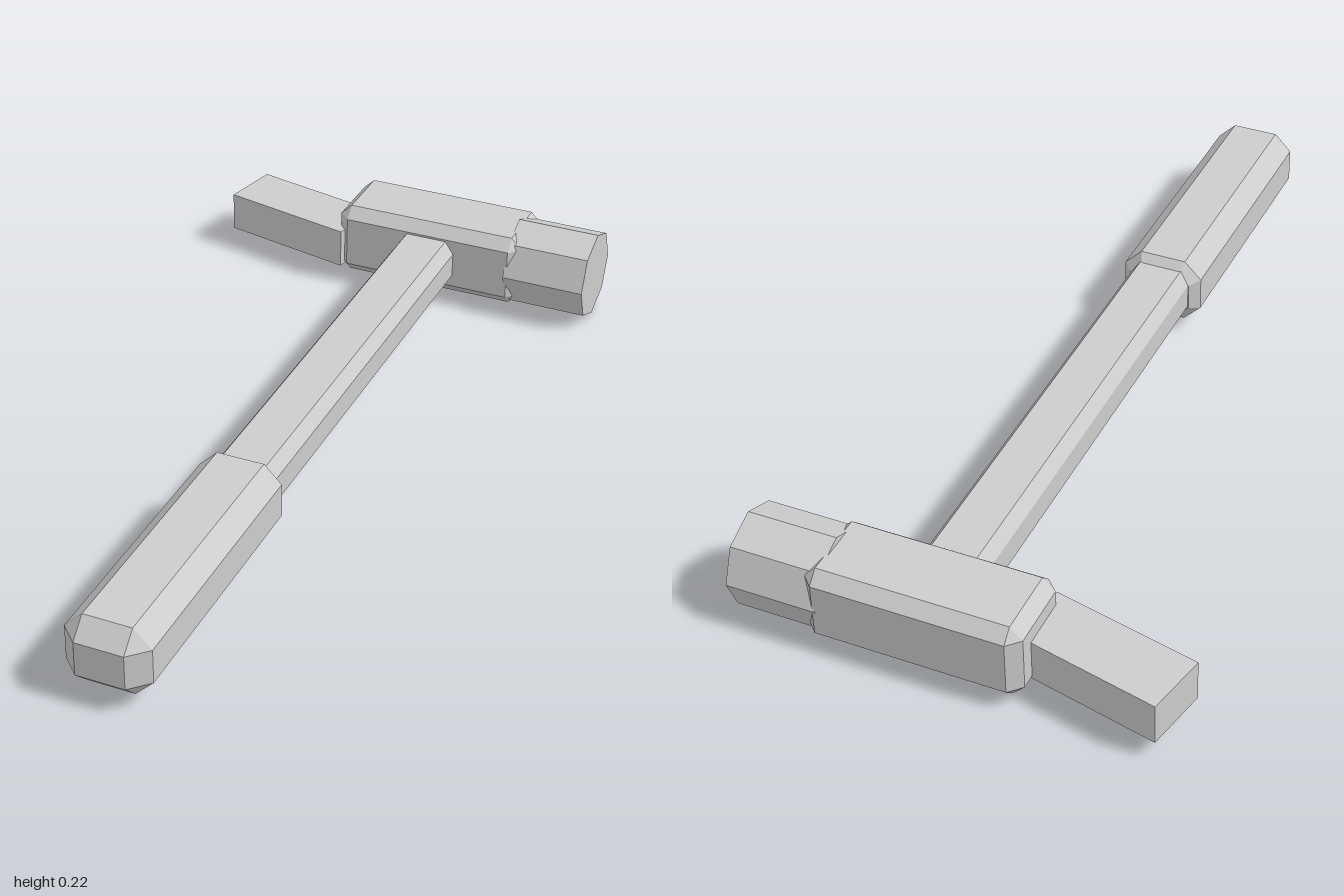
import * as THREE from 'three';
import { ConvexGeometry } from 'three/addons/geometries/ConvexGeometry.js';

// Rings of [z, halfWidth, halfHeight, cutX, cutY]: a rectangle with its corners cut off
function bevelled(rings) {
  const points = [];
  for (const [z, w, h, cx, cy] of rings) {
    for (const sx of [-1, 1]) for (const sy of [-1, 1]) {
      points.push(new THREE.Vector3(sx * (w - cx), sy * h, z));
      if (cx > 0) points.push(new THREE.Vector3(sx * w, sy * (h - cy), z));
    }
  }
  return new ConvexGeometry(points);
}

export function createModel() {
  const group = new THREE.Group();
  const steel = new THREE.MeshStandardMaterial({ color: 0xcccccc, flatShading: true });
  steel.name = 'light grey';

  const add = (name, geometry, x, y, z) => {
    const mesh = new THREE.Mesh(geometry, steel);
    mesh.name = name;
    mesh.position.set(x, y, z);
    group.add(mesh);
    return mesh;
  };

  // Thick grip, strongly bevelled at the butt and lightly at the shaft
  add('grip', bevelled([
    [0.312, 0.076, 0.062, 0.03, 0.03],
    [0.335, 0.098, 0.083, 0.042, 0.042],
    [0.958, 0.098, 0.083, 0.042, 0.042],
    [1.0, 0.056, 0.041, 0, 0],
  ]), 0.074, 0.108, 0);

  // Octagonal shaft running into the head
  add('shaft', bevelled([
    [-0.85, 0.074, 0.0625, 0.022, 0.032],
    [0.33, 0.074, 0.0625, 0.022, 0.032],
  ]), 0.074, 0.1105, 0);

  // Head block, bevelled on every edge, lying along x
  const block = bevelled([
    [-0.245, 0.077, 0.064, 0, 0],
    [-0.217, 0.105, 0.092, 0.028, 0.028],
    [0.217, 0.105, 0.092, 0.028, 0.028],
    [0.245, 0.077, 0.064, 0, 0],
  ]).rotateY(Math.PI / 2);
  add('headBlock', block, 0.075, 0.114, -0.893);

  // Eight-sided striking face
  const face = new THREE.CylinderGeometry(0.1115, 0.1115, 0.207, 8).rotateZ(Math.PI / 2);
  add('strikingFace', face, 0.3895, 0.1115, -0.889);

  // Slanted flat peen
  const peen = add('peen', new THREE.BoxGeometry(0.348, 0.099, 0.148), -0.31, 0.0925, -0.8906);
  peen.rotation.y = -0.217;

  return group;
}
